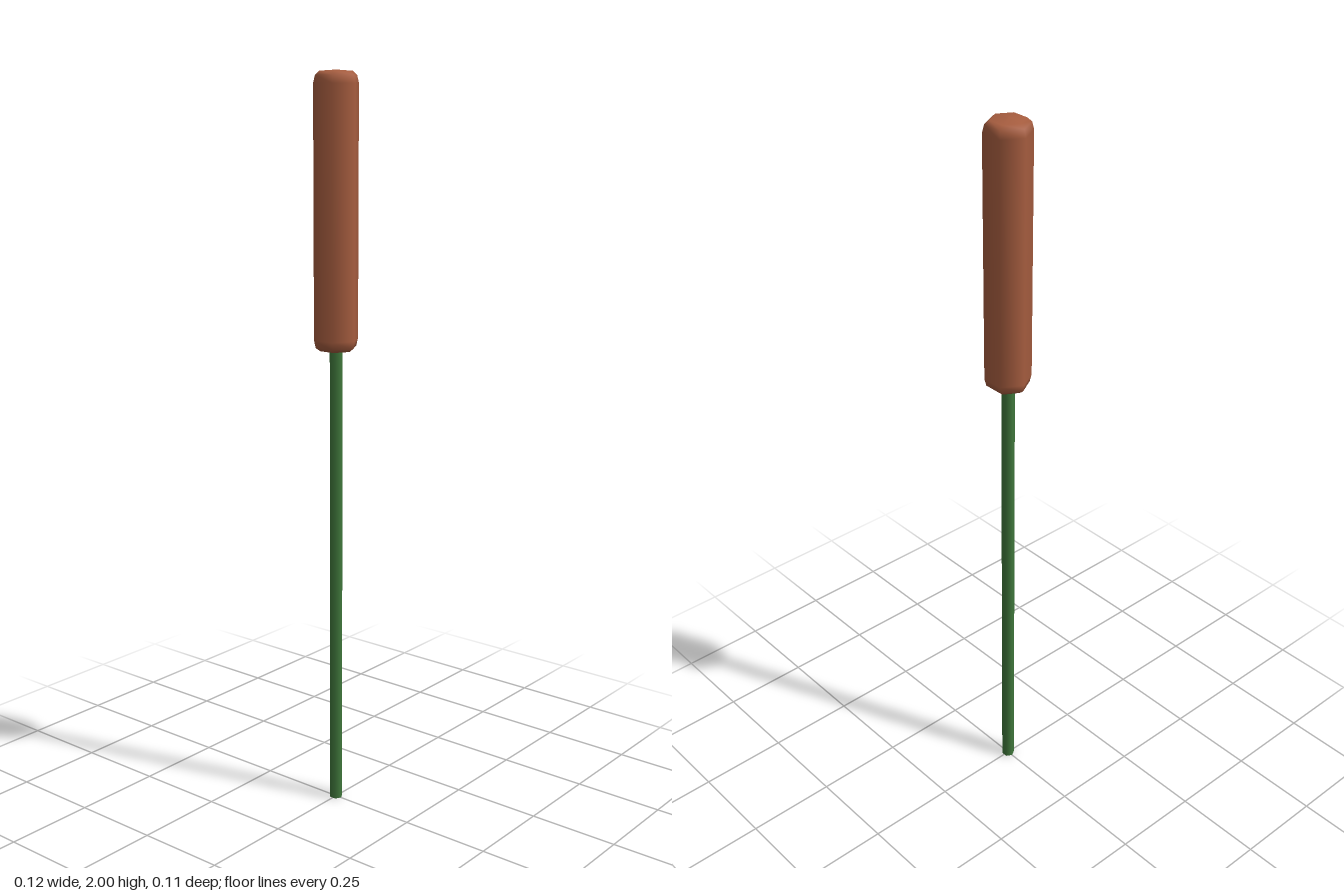
import * as THREE from 'three';

export function createModel() {
  const model = new THREE.Group();
  const brown = new THREE.MeshStandardMaterial({ color: 0xa85e40 });
  brown.name = 'seed brown';
  const green = new THREE.MeshStandardMaterial({ color: 0x40783c });
  green.name = 'stalk green';

  // Six-sided turned solid with corners on the x axis
  const turned = (name, profile, material) => {
    const points = profile.map(([r, y]) => new THREE.Vector2(r, y));
    const mesh = new THREE.Mesh(new THREE.LatheGeometry(points, 6, Math.PI / 2), material);
    mesh.name = name;
    model.add(mesh);
  };

  // Seed head: long hexagonal body with softened ends
  turned('seedHead', [
    [0, 1.28], [0.045, 1.284], [0.057, 1.293], [0.062, 1.313],
    [0.062, 1.967], [0.057, 1.987], [0.045, 1.997], [0, 2],
  ], brown);

  // Straight stalk, closed underneath and running into the head
  const stalk = new THREE.Mesh(
    new THREE.CylinderGeometry(0.018, 0.018, 1.3, 6, 1, false, Math.PI / 2), green);
  stalk.name = 'stalk';
  stalk.position.y = 0.65;
  model.add(stalk);

  return model;
}
